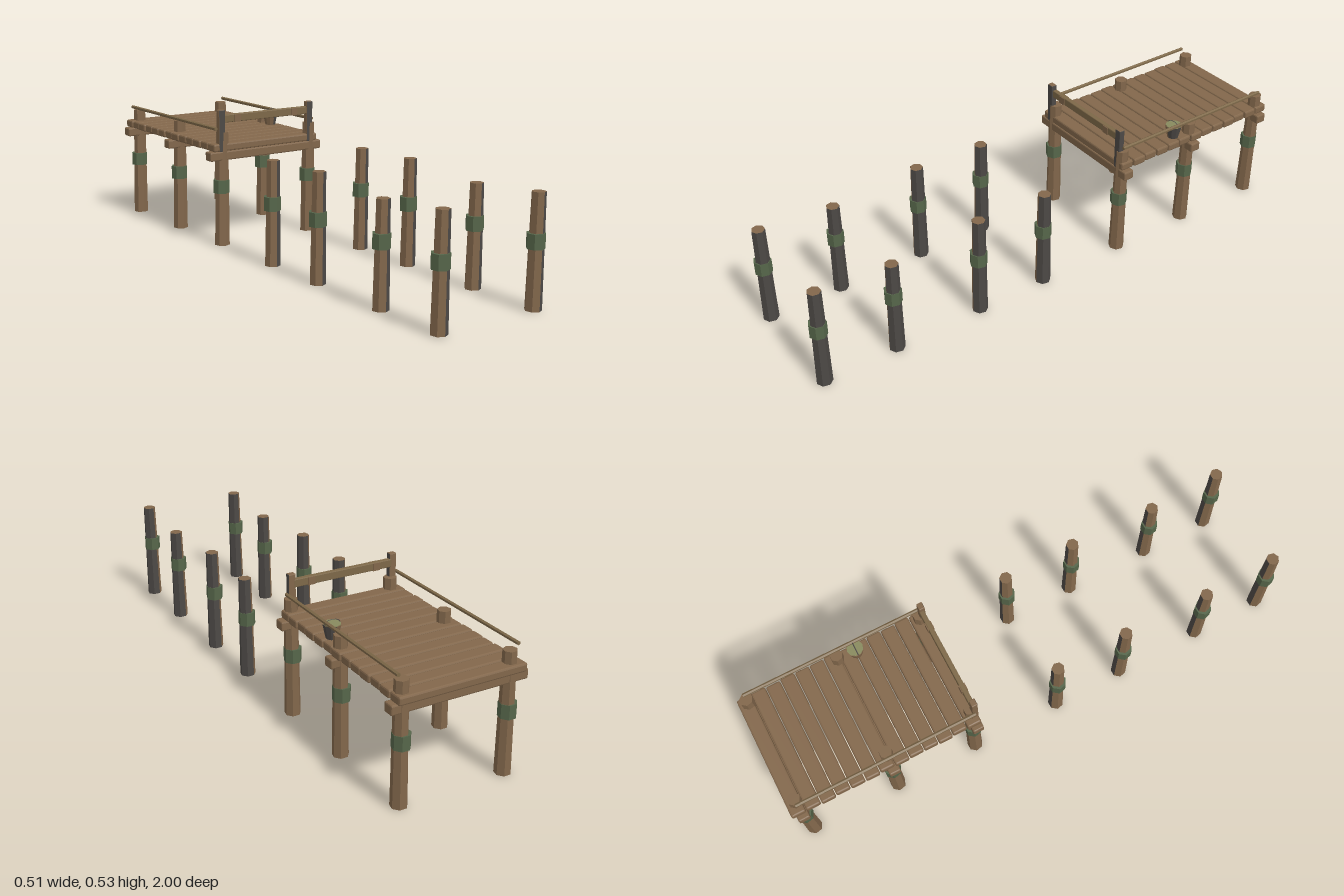
import * as THREE from 'three';
import { RoundedBoxGeometry } from 'three/addons/geometries/RoundedBoxGeometry.js';

const flat = (name, color) => {
  const m = new THREE.MeshStandardMaterial({ color, flatShading: true });
  m.name = name;
  return m;
};

export function createModel() {
  const wood = flat('brown wood', 0x82674b);
  const tarred = flat('tarred wood', 0x4d4946);
  const moss = flat('moss green', 0x56664a);
  const rope = flat('olive brown', 0x7d6848);
  const water = flat('murky water', 0x888a5e);

  const dock = new THREE.Group();
  dock.name = 'dock';

  const add = (name, geometry, material, x, y, z, parent = dock) => {
    const mesh = new THREE.Mesh(geometry, material);
    mesh.name = name;
    mesh.position.set(x, y, z);
    parent.add(mesh);
    return mesh;
  };
  // timber with chamfered edges
  const timber = (w, h, d, r = 0.005) => new RoundedBoxGeometry(w, h, d, 1, r);

  // cylinder standing on y = 0, tarred on its first few sides (towards +x) and underneath
  function halfTarred(top, bottom, height, sides, dark) {
    const g = new THREE.CylinderGeometry(top, bottom, height, sides);
    g.clearGroups();
    g.addGroup(0, dark * 6, 1);
    g.addGroup(dark * 6, (sides - dark) * 6 + sides * 3, 0);
    g.addGroup(sides * 9, sides * 3, 1);
    return g.translate(0, height / 2, 0);
  }

  // leaning seven-sided post wrapped in a moss band
  function post(name, x, z, height, weathered) {
    const group = new THREE.Group();
    group.name = name;
    group.position.set(x, 0, z);
    dock.add(group);
    const shaft = halfTarred(0.024, 0.029, height, 7, 4);
    add('postShaft', shaft, weathered ? [wood, tarred] : [wood, wood], 0, 0, 0, group).rotation.z = -0.014;
    add('mossBand', new THREE.CylinderGeometry(0.0315, 0.0315, 0.051, 7), moss, -0.0005, 0.231, 0, group);
  }

  const pileRows = [[0.971, 0.39], [0.69, 0.368], [0.345, 0.395], [0.065, 0.388]];
  const deckRows = [-0.287, -0.615, -0.963];
  for (const x of [-0.1975, 0.202]) {
    for (const [z, h] of pileRows) post('freePile', x, z, h, true);
    for (const z of deckRows) post('deckPost', x, z, 0.44, false);
  }

  // cross beams on the deck posts
  for (const z of deckRows) add('crossBeam', timber(0.508, 0.035, 0.042), wood, 0, 0.35, z);

  // deck planks, with slightly uneven ends
  const count = 13, pitch = 0.0565;
  for (let i = 0; i < count; i++) {
    const shift = 0.002 * Math.sin(i * 2.4);
    add('deckPlank', timber(0.473, 0.03, 0.053, 0.006), wood, shift, 0.382, -1 + pitch * (i + 0.5));
  }

  // front crossbar on two short uprights, tarred towards +x and +z
  const uprightSides = [tarred, wood, wood, wood, tarred, wood];
  for (const x of [-0.2015, 0.2015]) {
    add('barUpright', timber(0.027, 0.16, 0.022, 0.003), uprightSides, x, 0.446, -0.277);
  }
  add('crossbar', timber(0.39, 0.03, 0.018, 0.003), rope, 0, 0.491, -0.28);
  for (const x of [-0.131, 0.129]) {
    add('crossbarPatch', new THREE.BoxGeometry(0.028, 0.028, 0.024), wood, x, 0.49, -0.28);
  }

  // side rails resting against the post tops
  for (const x of [-0.221, 0.221]) {
    const g = new THREE.CylinderGeometry(0.007, 0.007, 0.686, 6);
    g.rotateX(Math.PI / 2);
    add('sideRail', g, rope, x, 0.454, -0.623);
  }

  // bucket with water and a low handle
  const bucket = new THREE.Group();
  bucket.name = 'bucket';
  bucket.position.set(0.198, 0.397, -0.545);
  dock.add(bucket);
  add('bucketBody', halfTarred(0.032, 0.021, 0.05, 10, 5), [wood, tarred], 0, 0, 0, bucket);
  add('bucketWater', new THREE.CylinderGeometry(0.03, 0.03, 0.002, 10), water, 0, 0.051, 0, bucket);
  const handle = add('bucketHandle', new THREE.TorusGeometry(0.029, 0.002, 4, 6, Math.PI), tarred, 0, 0.05, 0, bucket);
  handle.scale.y = 0.5;

  return dock;
}
